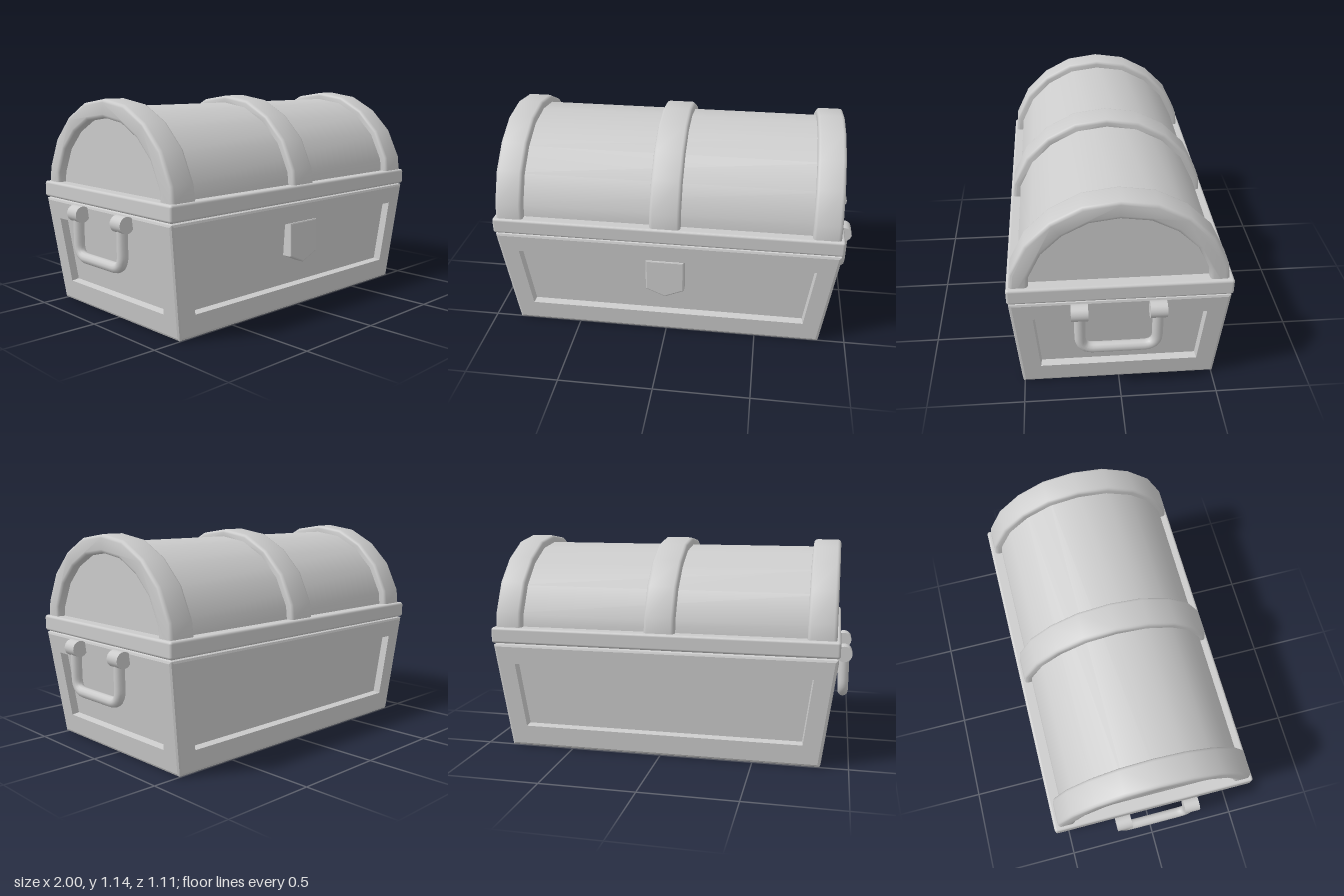
import * as THREE from 'three';
import { toCreasedNormals } from 'three/addons/utils/BufferGeometryUtils.js';
import { RoundedBoxGeometry } from 'three/addons/geometries/RoundedBoxGeometry.js';

const material = new THREE.MeshStandardMaterial({ color: 0xcccccc });

function add(parent, name, geometry, x = 0, y = 0, z = 0) {
  const mesh = new THREE.Mesh(geometry, material);
  mesh.name = name;
  mesh.position.set(x, y, z);
  parent.add(mesh);
  return mesh;
}

// Tapered box with a sunken panel in each of its four walls
function bodyGeometry() {
  const H = 0.59, b = 0.016;
  const halfX = y => 0.855 + 0.075 * y / H;
  const halfZ = y => 0.51 + 0.04 * y / H;
  const positions = [];
  const quad = (p, q, r, s) => positions.push(...p, ...q, ...r, ...p, ...r, ...s);
  const bridge = (outer, inner) => {
    for (let i = 0; i < 4; i++) {
      const j = (i + 1) % 4;
      quad(outer[i], outer[j], inner[j], inner[i]);
    }
  };

  // Rings from the worn edge to the panel: inset, bottom, top, depth
  const rings = [
    [0.3 * b, 0.3 * b, H - 0.3 * b, 0.3 * b],
    [b, b, H - b, 0],
    [0.108, 0.12, 0.48, 0],
    [0.114, 0.127, 0.478, 0.04],
  ];
  for (let k = 0; k < 4; k++) {
    const [width, reach] = k % 2 ? [halfZ, halfX] : [halfX, halfZ];
    const point = (side, y, inset, depth) => {
      const u = side * (width(y) - inset), d = reach(y) - depth;
      return [[u, y, d], [d, y, -u], [-u, y, -d], [-d, y, u]][k];
    };
    const loops = rings.map(([inset, y0, y1, depth]) => [
      point(-1, y0, inset, depth), point(1, y0, inset, depth),
      point(1, y1, inset, depth), point(-1, y1, inset, depth),
    ]);
    for (let i = 0; i < 3; i++) bridge(loops[i], loops[i + 1]);
    quad(...loops[3]);
  }

  // Bottom and top faces
  for (const top of [false, true]) {
    const level = (inset, y, yWidth) => {
      const x = halfX(yWidth) - inset, z = halfZ(yWidth) - inset;
      const loop = [[-x, y, z], [x, y, z], [x, y, -z], [-x, y, -z]];
      return top ? loop : loop.reverse();
    };
    const edge = top ? H - 0.3 * b : 0.3 * b;
    const outer = level(0.3 * b, edge, edge);
    const inner = level(b, top ? H : 0, edge);
    bridge(outer, inner);
    quad(...inner);
  }
  const geometry = new THREE.BufferGeometry();
  geometry.setAttribute('position', new THREE.Float32BufferAttribute(positions, 3));
  geometry.computeVertexNormals();
  return geometry;
}

// Lid profile, shrunk by d towards the centre of the arch
const ARCH_Y = 0.605;
const HALF_ARCH = [[0.54, 0.605], [0.537, 0.68], [0.528, 0.76], [0.45, 0.92], [0.328, 1.04], [0.175, 1.12]];
function arch(d) {
  const full = [...HALF_ARCH, [0, 1.145], ...HALF_ARCH.map(([z, y]) => [-z, y]).reverse()];
  return full.map(([z, y]) => {
    const v = new THREE.Vector2(z, y - ARCH_Y);
    v.setLength(v.length() - d);
    v.y += ARCH_Y;
    return v;
  });
}

// Extrusion along x, centred on x = 0
function extrudeX(points, length, bevel) {
  const geometry = new THREE.ExtrudeGeometry(new THREE.Shape(points), {
    depth: length - 2 * bevel, bevelEnabled: bevel > 0,
    bevelThickness: bevel, bevelSize: bevel, bevelOffset: -bevel, bevelSegments: 3,
  });
  geometry.translate(0, 0, bevel - length / 2);
  geometry.rotateY(Math.PI / 2);
  return toCreasedNormals(geometry, 0.65);
}
const band = (length, inner) => extrudeX([...arch(0), ...arch(inner).reverse()], length, 0.018);

// Tube path of the drop handle, in the plane x = 0
function handleGeometry() {
  const w = 0.193, top = 0.545, low = 0.318, r = 0.07;
  const v = (z, y) => new THREE.Vector3(0, y, z);
  const path = new THREE.CurvePath();
  path.add(new THREE.LineCurve3(v(w, top), v(w, low + r)));
  path.add(new THREE.QuadraticBezierCurve3(v(w, low + r), v(w, low), v(w - r, low)));
  path.add(new THREE.LineCurve3(v(w - r, low), v(r - w, low)));
  path.add(new THREE.QuadraticBezierCurve3(v(r - w, low), v(-w, low), v(-w, low + r)));
  path.add(new THREE.LineCurve3(v(-w, low + r), v(-w, top)));
  return new THREE.TubeGeometry(path, 48, 0.028, 12, false);
}

export function createModel() {
  const chest = new THREE.Group();
  chest.name = 'chest';

  add(chest, 'body', bodyGeometry());

  // Lid: rim, barrel and three raised bands
  const lid = new THREE.Group();
  lid.name = 'lid';
  chest.add(lid);
  add(lid, 'lidRim', new RoundedBoxGeometry(1.87, 0.087, 1.11, 3, 0.014), 0, 0.6365, 0);
  add(lid, 'lidBarrel', extrudeX(arch(0.04), 1.74, 0), 0, 0, 0.005);
  add(lid, 'middleBand', band(0.165, 0.07), 0, 0, 0.005);
  for (const s of [-1, 1]) {
    add(lid, s > 0 ? 'leftBand' : 'rightBand', band(0.147, 0.095), s * 0.8425, 0, 0.005);
  }

  // Shield-shaped latch plate on the front panel
  const plate = new THREE.Shape([[-0.105, 0.48], [-0.105, 0.295], [0, 0.25], [0.105, 0.295], [0.105, 0.48]]
    .map(([x, y]) => new THREE.Vector2(x, y)));
  add(chest, 'latch', new THREE.ExtrudeGeometry(plate, {
    depth: 0.07, bevelThickness: 0.008, bevelSize: 0.008, bevelOffset: -0.008, bevelSegments: 2,
  }), 0, 0, 0.468);

  // Drop handles with two round lugs each
  for (const s of [-1, 1]) {
    const handle = new THREE.Group();
    handle.name = s > 0 ? 'leftHandle' : 'rightHandle';
    handle.position.set(s * 0.957, 0, 0.012);
    chest.add(handle);
    add(handle, 'grip', handleGeometry());
    for (const side of [-1, 1]) {
      const lug = new THREE.CylinderGeometry(0.043, 0.043, 0.084, 20);
      lug.rotateX(Math.PI / 2);
      add(handle, 'lug', lug, 0, 0.546, side * 0.193);
    }
  }
  return chest;
}
